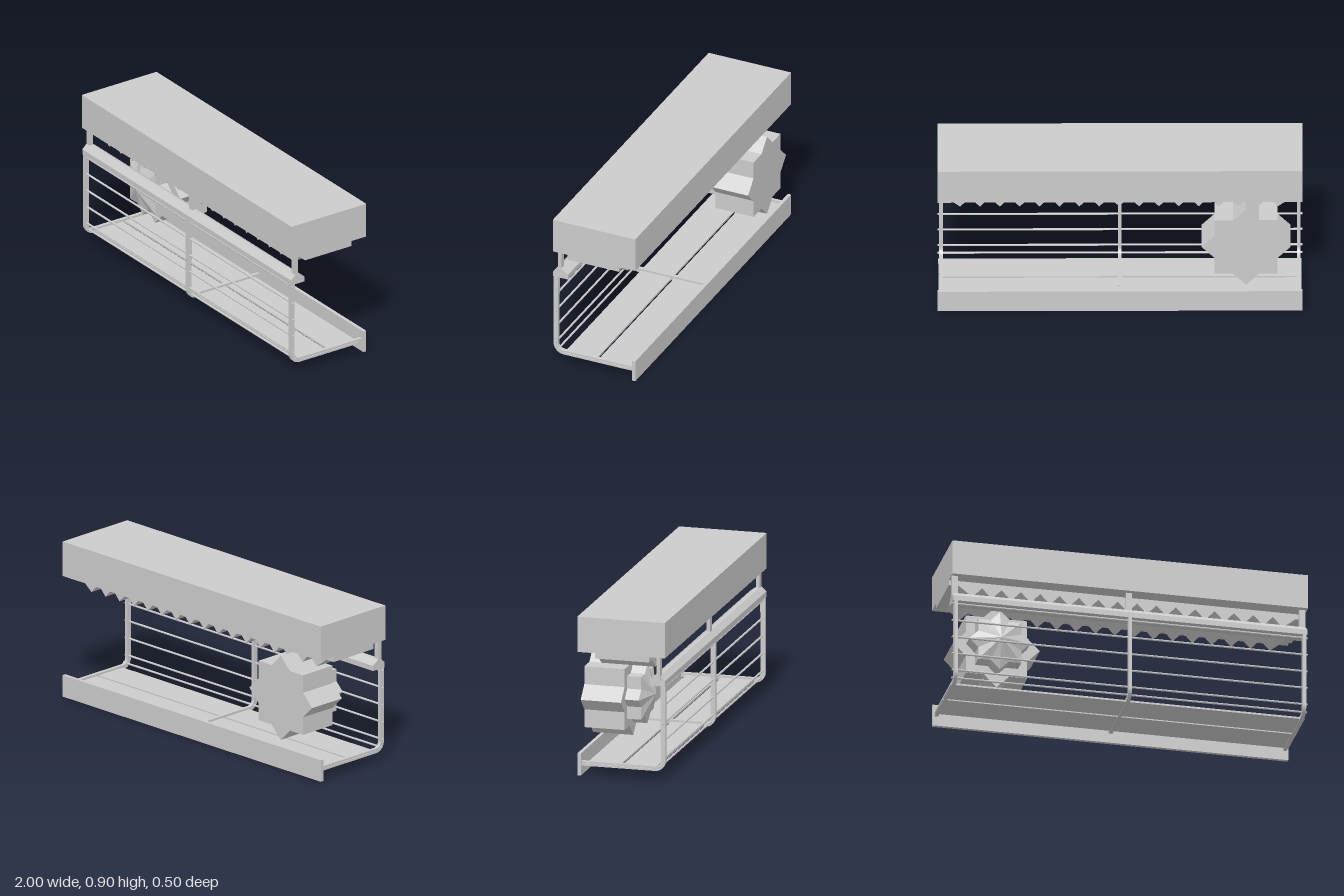
import * as THREE from 'three';

const mat = new THREE.MeshStandardMaterial({ color: 0xcccccc, flatShading: true });

export function createModel() {
  const model = new THREE.Group();

  const add = (name, geometry, x = 0, y = 0, z = 0) => {
    const mesh = new THREE.Mesh(geometry, mat);
    mesh.name = name;
    mesh.position.set(x, y, z);
    model.add(mesh);
    return mesh;
  };
  // Box given by its min and max corners
  const box = (name, x0, x1, y0, y1, z0, z1) =>
    add(name, new THREE.BoxGeometry(x1 - x0, y1 - y0, z1 - z0),
      (x0 + x1) / 2, (y0 + y1) / 2, (z0 + z1) / 2);
  const polygon = (pts) => new THREE.Shape(pts.map(([a, b]) => new THREE.Vector2(a, b)));
  const extrude = (shape, depth) =>
    new THREE.ExtrudeGeometry(shape, { depth, bevelEnabled: false, curveSegments: 6 });
  // (z, y) profile swept along x, centred on the given x
  const sweepX = (name, shape, width, x) =>
    add(name, extrude(shape, width).translate(0, 0, -width / 2).rotateY(-Math.PI / 2), x);

  // Canopy with a shallow slab beneath it
  box('canopy', -1, 1, 0.7, 0.9, -0.25, 0.25);
  box('canopySlab', -1, 1, 0.67, 0.7, -0.15, 0.16);

  // Row of downward teeth
  const teeth = 17, first = -0.867, pitch = 0.109;
  const zigzag = [[-0.945, 0.672]];
  for (let i = 0; i < teeth; i++) {
    const x = first + i * pitch;
    zigzag.push([x, 0.612]);
    if (i < teeth - 1) zigzag.push([x + pitch / 2, 0.67]);
  }
  zigzag.push([0.953, 0.672], [0.953, 0.69], [-0.945, 0.69]);
  add('ceilingTeeth', extrude(polygon(zigzag), 0.31), 0, 0, -0.15);

  // Hand rail and the short posts that carry the canopy
  sweepX('handRail', polygon([
    [0.25, 0.54], [0.25, 0.57], [0.22, 0.598], [0.2, 0.598], [0.16, 0.57], [0.16, 0.54],
  ]), 1.99, 0);
  for (const x of [-0.98, 0, 0.975]) box('upperPost', x - 0.017, x + 0.017, 0.57, 0.7, 0.202, 0.222);

  // Bent side frames: down the front and back along the floor
  const frame = new THREE.Shape();
  frame.moveTo(0.25, 0.56);
  frame.lineTo(0.25, 0.115);
  frame.absarc(0.19, 0.115, 0.06, 0, -Math.PI / 2, true);
  frame.lineTo(-0.23, 0.055);
  frame.lineTo(-0.23, 0.081);
  frame.lineTo(0.19, 0.081);
  frame.absarc(0.19, 0.115, 0.034, -Math.PI / 2, 0, false);
  frame.lineTo(0.221, 0.56);
  for (const x of [-0.98, 0, 0.98]) sweepX('frame', frame, 0.02, x);

  // Horizontal rods
  const rods = [[0.525, 0.235], [0.425, 0.235], [0.325, 0.235], [0.225, 0.235], [0.125, 0.235], [0.083, 0.222]];
  for (const [y, z] of rods) {
    add('rod', new THREE.CylinderGeometry(0.006, 0.006, 2, 8).rotateZ(Math.PI / 2), 0, y, z);
  }

  // Floor panels and back board
  box('frontFloorPanel', -0.995, 0.995, 0.058, 0.069, -0.002, 0.185);
  box('backFloorPanel', -0.995, 0.995, 0.058, 0.069, -0.202, -0.016);
  box('backBoard', -1, 1, 0, 0.125, -0.25, -0.23);

  // Eight-pointed star: two stepped prisms and a faceted point
  const star = (r) => Array.from({ length: 16 }, (_, i) => {
    const a = (i * Math.PI) / 8, d = i % 2 ? r * 0.765 : r;
    return [d * Math.cos(a), d * Math.sin(a)];
  });
  const sx = -0.69, sy = 0.411;
  add('starBase', extrude(polygon(star(0.244)), 0.23), sx, sy, -0.25);
  add('starStep', extrude(polygon(star(0.171)), 0.08), sx, sy, -0.02);

  const rim = star(0.171), facets = [];
  rim.forEach(([x, y], i) => {
    const [nx, ny] = rim[(i + 1) % rim.length];
    facets.push(x, y, 0, nx, ny, 0, 0, 0, 0.05);
  });
  const point = new THREE.BufferGeometry();
  point.setAttribute('position', new THREE.Float32BufferAttribute(facets, 3));
  point.computeVertexNormals();
  add('starPoint', point, sx, sy, 0.06);

  return model;
}
